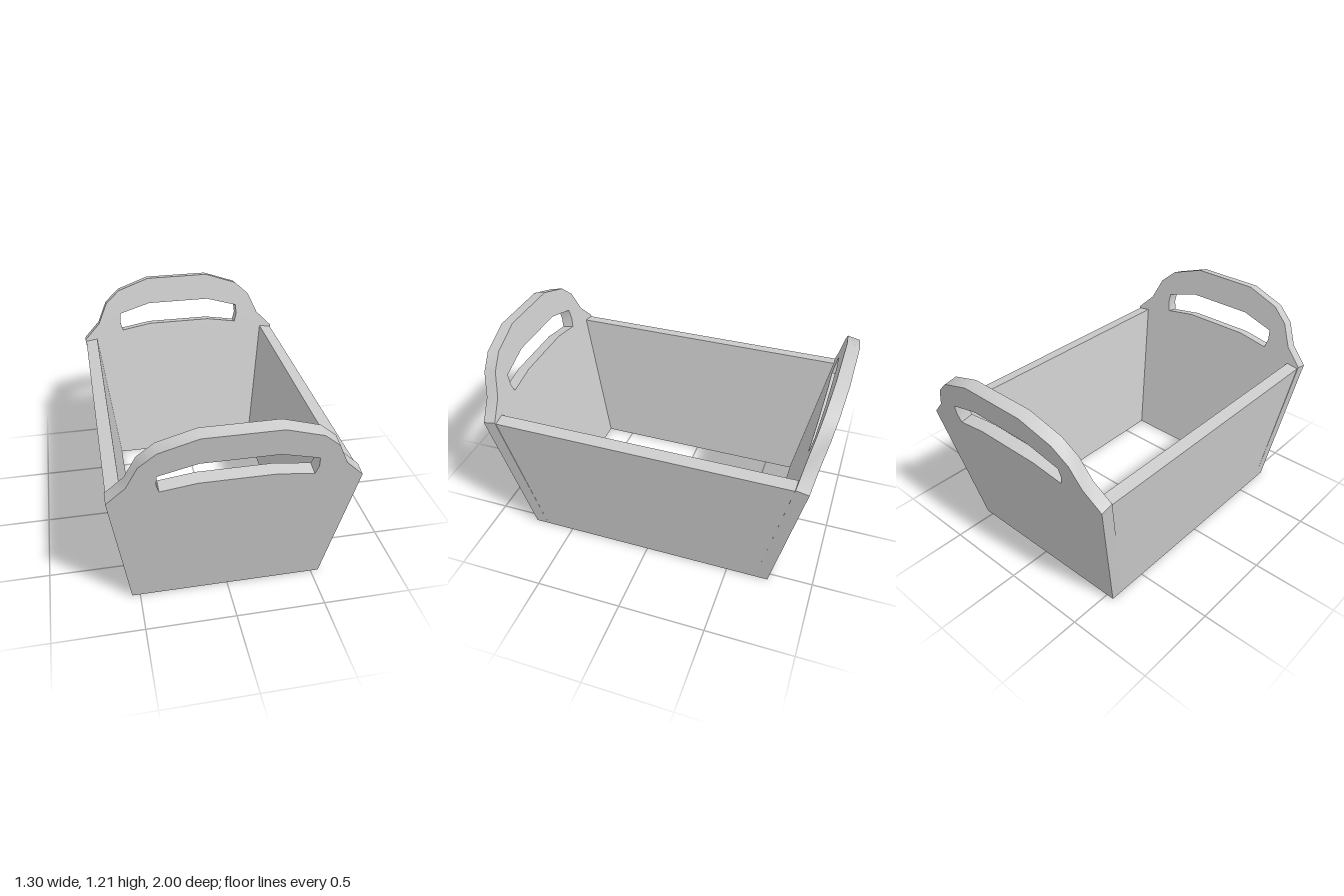
import * as THREE from 'three';
import { toCreasedNormals } from 'three/addons/utils/BufferGeometryUtils.js';

const T = 0.075;       // board thickness
const SLOPE = 0.2135;  // outward lean of the end boards

// Closed outline from its right half, listed bottom to top
function mirrored(half) {
  const left = half.map(([x, y]) => [-x, y]).reverse();
  return [...half, ...left].map(([x, y]) => new THREE.Vector2(x, y));
}

// Apply a rule to every vertex, then rebuild the normals
function reshape(geometry, rule) {
  const p = geometry.attributes.position;
  const v = new THREE.Vector3();
  for (let i = 0; i < p.count; i++) {
    v.fromBufferAttribute(p, i);
    rule(v);
    p.setXYZ(i, v.x, v.y, v.z);
  }
  return toCreasedNormals(geometry, 0.6);
}

// Leaning end board with an arched grip and a hand slot
function endBoardGeometry() {
  const shape = new THREE.Shape(mirrored([
    [0.545, 0], [0.65, 0.83], [0.55, 0.93], [0.49, 1.06], [0.4, 1.14], [0.2, 1.207],
  ]));
  shape.holes.push(new THREE.Path(mirrored([
    [0.2, 0.907], [0.39, 0.877], [0.405, 0.93], [0.4, 0.988], [0.2, 1.044],
  ])));
  const geometry = new THREE.ExtrudeGeometry(shape, { depth: T, bevelEnabled: false });
  return reshape(geometry, (v) => {
    // edges stay square to the lean, while the foot stays level
    v.y -= 0.2 * v.z * Math.min(1, v.y / 0.8);
    v.z += 0.67 + SLOPE * v.y;
  });
}

// Flared side board, running between the inner faces of the end boards
function sideBoardGeometry() {
  return reshape(new THREE.BoxGeometry(1, 1, 1), (v) => {
    const outer = v.x > 0;
    const y = v.y > 0 ? (outer ? 0.82 : 0.83) : 0;
    v.set((outer ? 0.545 : 0.47) + 0.122 * y, y, Math.sign(v.z) * (0.67 + SLOPE * y));
  });
}

export function createModel() {
  const model = new THREE.Group();
  model.name = 'handledCrate';
  const material = new THREE.MeshStandardMaterial({ color: 0xcccccc });

  const add = (name, geometry, turn) => {
    const mesh = new THREE.Mesh(geometry, material);
    mesh.name = name;
    mesh.rotation.y = turn;
    model.add(mesh);
  };

  const end = endBoardGeometry();
  const side = sideBoardGeometry();
  add('frontBoard', end, 0);
  add('backBoard', end, Math.PI);
  add('leftBoard', side, 0);
  add('rightBoard', side, Math.PI);
  return model;
}
